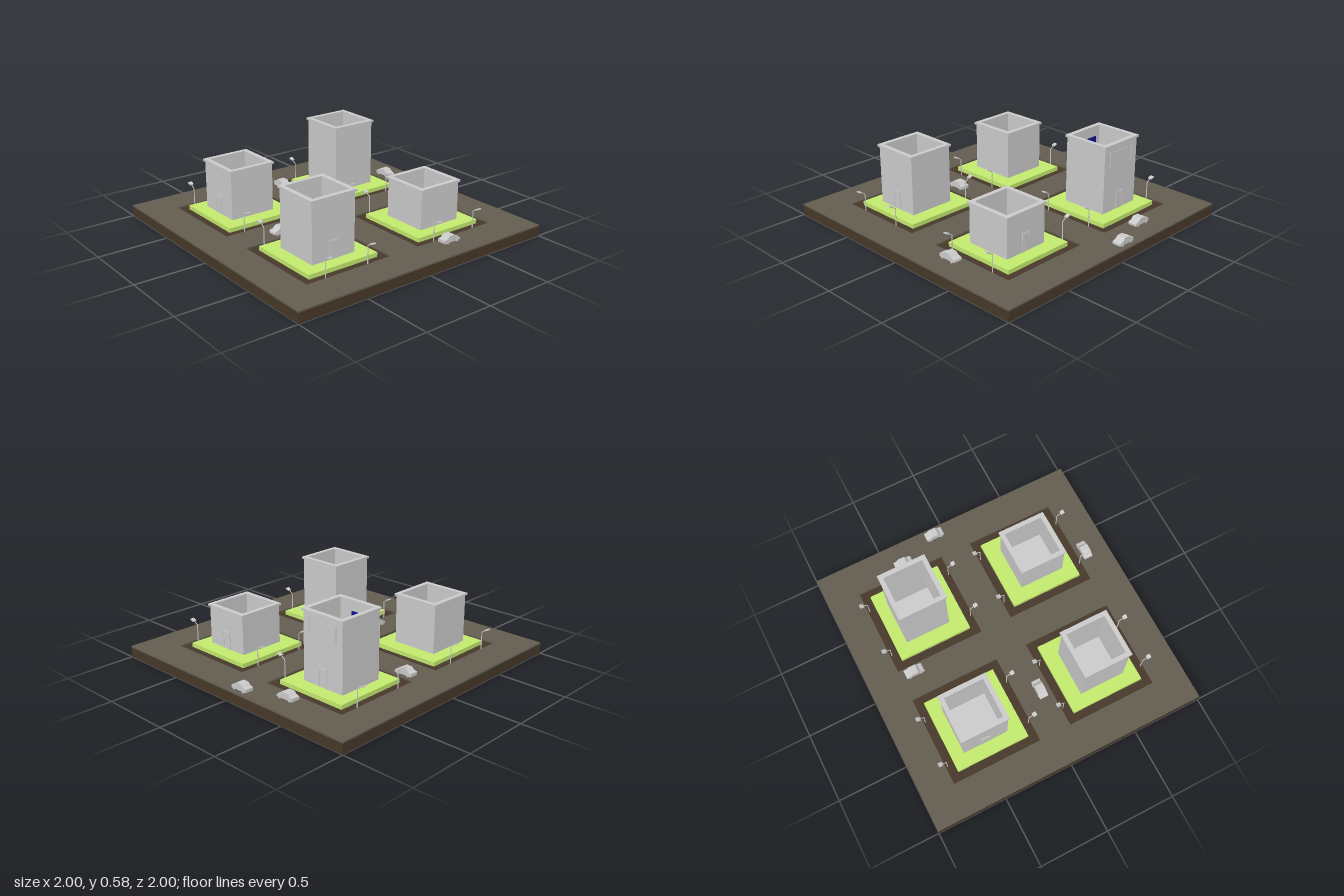
import * as THREE from 'three';

const paint = (color) => new THREE.MeshStandardMaterial({ color });
const grey = paint(0xcccccc);
const soil = paint(0x473829);
const asphalt = paint(0x635d50);
const grass = paint(0xc3ea6e);
const blue = paint(0x10108a);

function add(parent, name, geometry, material, x = 0, y = 0, z = 0) {
  const mesh = new THREE.Mesh(geometry, material);
  mesh.name = name;
  mesh.position.set(x, y, z);
  parent.add(mesh);
  return mesh;
}

// Box placed by its underside centre
function box(parent, name, w, h, d, x, y, z, material = grey) {
  return add(parent, name, new THREE.BoxGeometry(w, h, d), material, x, y + h / 2, z);
}

function group(parent, name, x, y, z, turn = 0) {
  const g = new THREE.Group();
  g.name = name;
  g.position.set(x, y, z);
  g.rotation.y = turn;
  parent.add(g);
  return g;
}

const square = (Type, cx, cy, s) => new Type([[-1, -1], [1, -1], [1, 1], [-1, 1]]
  .map(([a, b]) => new THREE.Vector2(cx + a * s / 2, cy + b * s / 2)));

// Flat plate with square openings, lying on its underside
function plate(size, holes, depth) {
  const shape = square(THREE.Shape, 0, 0, size);
  for (const [x, z, s] of holes) shape.holes.push(square(THREE.Path, x, -z, s));
  return new THREE.ExtrudeGeometry(shape, { depth, bevelEnabled: false }).rotateX(-Math.PI / 2);
}

// Hollow, open-topped building with a rim and one door
function building(parent, x, z, top, doorTurn) {
  const g = group(parent, 'building', x, 0.1, z);
  const h = top - 0.1;
  add(g, 'walls', plate(0.33, [[0, 0, 0.285]], h - 0.015), grey);
  add(g, 'roofRim', plate(0.35, [[0, 0, 0.285]], 0.015), grey, 0, h - 0.015, 0);
  box(g, 'floor', 0.286, 0.008, 0.286, 0, 0, 0);
  const door = group(g, 'door', 0, 0, 0.165, 0);
  box(door, 'doorPanel', 0.056, 0.12, 0.004, 0, 0, 0);
  for (const s of [-1, 1]) box(door, 'doorJamb', 0.006, 0.13, 0.01, s * 0.031, 0, 0);
  box(door, 'doorLintel', 0.068, 0.006, 0.01, 0, 0.124, 0);
  box(door, 'doorHandle', 0.005, 0.008, 0.008, -0.018, 0.06, 0.003);
  door.position.set(Math.sin(doorTurn) * 0.165, 0, Math.cos(doorTurn) * 0.165);
  door.rotation.y = doorTurn;
  return g;
}

// Street lamp whose arm reaches towards +z
function lamp(parent, x, z, turn) {
  const g = group(parent, 'streetLamp', x, 0.07, z, turn);
  add(g, 'lampPole', new THREE.CylinderGeometry(0.003, 0.004, 0.125, 8), grey, 0, 0.0625, 0);
  const arm = new THREE.LineCurve3(new THREE.Vector3(0, 0.124, 0), new THREE.Vector3(0, 0.147, 0.035));
  add(g, 'lampArm', new THREE.TubeGeometry(arm, 1, 0.003, 8), grey);
  const head = box(g, 'lampHead', 0.028, 0.008, 0.03, 0, 0.147, 0.042);
  head.rotation.x = -0.4;
}

// Small car pointing along +x
const sideProfile = [[-0.067, 0.008], [0.067, 0.008], [0.067, 0.022], [0.058, 0.03],
  [0.04, 0.034], [0.02, 0.053], [-0.025, 0.053], [-0.045, 0.034], [-0.067, 0.03]];
const carBody = new THREE.ExtrudeGeometry(
  new THREE.Shape(sideProfile.map(([a, b]) => new THREE.Vector2(a, b))),
  { depth: 0.062, bevelEnabled: false }).translate(0, 0, -0.031);
const wheel = new THREE.CylinderGeometry(0.011, 0.011, 0.008, 14).rotateX(Math.PI / 2);

function car(parent, x, z, turn) {
  const g = group(parent, 'car', x, 0.08, z, turn);
  add(g, 'carBody', carBody, grey);
  for (const a of [-0.042, 0.042]) for (const b of [-0.029, 0.029])
    add(g, 'carWheel', wheel, grey, a, 0.011, b);
}

export function createModel() {
  const model = new THREE.Group();
  model.name = 'cityBlocks';

  // Ground slab and the road sheet with an opening for each block
  const blocks = [];
  for (const x of [-0.443, 0.437]) for (const z of [-0.443, 0.439]) blocks.push([x, z, 0.65]);
  box(model, 'groundSlab', 2, 0.07, 2, 0, 0, 0, soil);
  add(model, 'road', plate(2, blocks, 0.01), asphalt, 0, 0.07, 0);

  // Lawns and lamps
  for (const [x, z] of blocks) {
    box(model, 'lawn', 0.53, 0.03, 0.53, x, 0.07, z, grass);
    for (const s of [-1, 1]) {
      const turn = s > 0 ? 0 : Math.PI;
      lamp(model, x - (s > 0 ? 0.178 : 0.195), z + s * 0.312, turn);
      lamp(model, x + (x < 0 ? 0.148 : 0.178), z + s * 0.312, turn);
    }
  }

  // Buildings
  building(model, -0.45, 0.445, 0.52, 0);
  building(model, 0.437, 0.45, 0.383, Math.PI / 2);
  building(model, -0.45, -0.453, 0.45, -Math.PI / 2);
  const tower = building(model, 0.437, -0.457, 0.583, Math.PI / 2);

  // Wall panel with side bars outside, blue panel inside
  box(tower, 'wallPanel', 0.004, 0.1, 0.22, 0.165, 0.325, 0);
  for (const s of [-1, 1]) box(tower, 'panelBar', 0.008, 0.11, 0.006, 0.166, 0.32, s * 0.11);
  box(tower, 'bluePanel', 0.004, 0.1, 0.11, -0.122, 0.32, -0.028, blue);

  // Cars
  const q = Math.PI / 2;
  car(model, 0.06, -0.667, -q);
  car(model, 0.83, -0.385, -q);
  car(model, 0.937, -0.088, -q);
  car(model, -0.453, 0.045, Math.PI);
  car(model, 0.325, 0.826, 0);

  return model;
}
